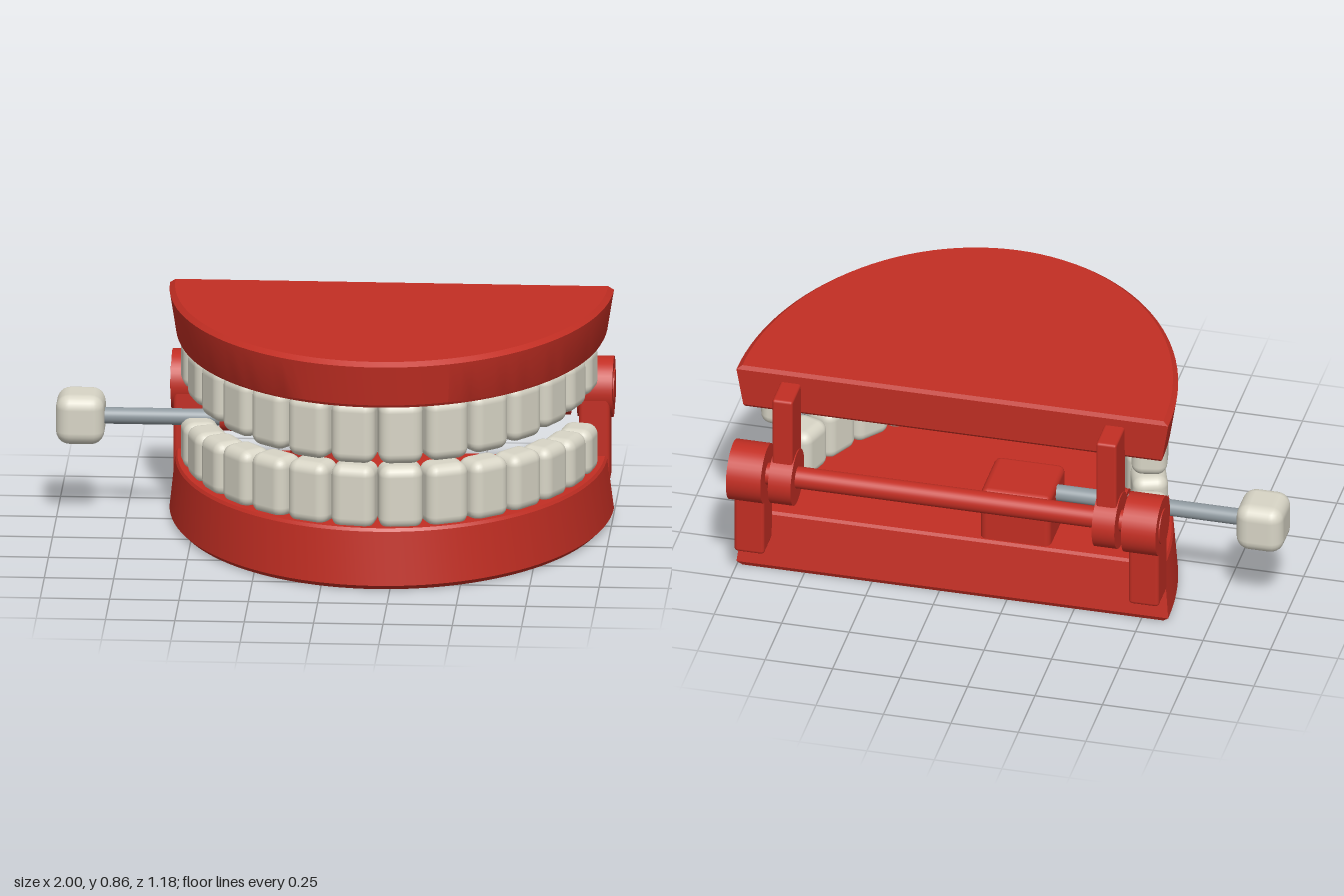
import * as THREE from 'three';
import { toCreasedNormals } from 'three/addons/utils/BufferGeometryUtils.js';
import { RoundedBoxGeometry } from 'three/addons/geometries/RoundedBoxGeometry.js';

const CX = 0.2;      // middle of the jaws
const BACK = -0.415; // flat back of the jaws

// Half-ellipse slab; each profile row is [y, side inset, back inset]
function jawGeometry(profile) {
  const n = 56, pos = [];
  const rings = profile.map(([y, inset, back]) => {
    const ring = [];
    for (let i = 0; i <= n; i++) {
      const t = Math.PI * i / n;
      ring.push([(0.8 - inset) * Math.cos(t), y, BACK + back + (1.005 - inset - back) * Math.sin(t)]);
    }
    return ring;
  });
  const tri = (...pts) => pts.forEach((p) => pos.push(...p));
  const low = rings[0], high = rings[rings.length - 1];
  for (let i = 0; i <= n; i++) {
    const j = (i + 1) % (n + 1);
    for (let k = 0; k < rings.length - 1; k++) {
      const a = rings[k], b = rings[k + 1];
      tri(a[i], b[i], b[j]);
      tri(a[i], b[j], a[j]);
    }
    tri([0, low[0][1], 0], low[i], low[j]);
    tri([0, high[0][1], 0], high[j], high[i]);
  }
  const g = new THREE.BufferGeometry();
  g.setAttribute('position', new THREE.Float32BufferAttribute(pos, 3));
  g.computeVertexNormals();
  return toCreasedNormals(g, 0.35);
}

// Tooth places at equal steps of arc along an ellipse, from the front middle back
function toothPlaces(count, step, a, b) {
  const places = [];
  let t = 0, arc = 0;
  for (let k = 0; k < count; k++) {
    const target = (k + 0.5) * step;
    while (arc < target) {
      t += 0.001;
      arc += 0.001 * Math.hypot(a * Math.cos(t), b * Math.sin(t));
    }
    places.push({
      x: a * Math.sin(t),
      z: BACK + b * Math.cos(t),
      turn: Math.atan2(b * Math.sin(t), a * Math.cos(t)),
    });
  }
  return places;
}

export function createModel() {
  const model = new THREE.Group();
  const red = new THREE.MeshStandardMaterial({ color: 0xc22e23 });
  red.name = 'gum red';
  const ivory = new THREE.MeshStandardMaterial({ color: 0xd8d5c6 });
  ivory.name = 'tooth ivory';
  const steel = new THREE.MeshStandardMaterial({ color: 0x8f999f });
  steel.name = 'shaft grey';

  function add(name, geometry, material, x = 0, y = 0, z = 0, parent = model) {
    const mesh = new THREE.Mesh(geometry, material);
    mesh.name = name;
    mesh.position.set(x, y, z);
    parent.add(mesh);
    return mesh;
  }
  // Box and cylinder given by their extents along x
  const block = (name, x0, x1, y0, y1, z0, z1, r) => add(name,
    new RoundedBoxGeometry(x1 - x0, y1 - y0, z1 - z0, 2, r), red,
    (x0 + x1) / 2, (y0 + y1) / 2, (z0 + z1) / 2);
  const bar = (name, r, x0, x1, y, z, material = red) => add(name,
    new THREE.CylinderGeometry(r, r, x1 - x0, 40).rotateZ(Math.PI / 2), material,
    (x0 + x1) / 2, y, z);

  // Jaws
  add('lowerJaw', jawGeometry([
    [0, 0.02, 0.01], [0.018, 0, 0], [0.215, 0.022, 0.033], [0.226, 0.03, 0.04],
  ]), red, CX);
  add('upperJaw', jawGeometry([
    [0.68, 0.03, 0.012], [0.69, 0.024, 0.005], [0.84, 0, 0], [0.855, 0.02, 0.008],
  ]), red, CX);

  // Teeth, shorter towards the back
  const upper = new THREE.Group(), lower = new THREE.Group();
  upper.name = 'upperTeeth';
  lower.name = 'lowerTeeth';
  model.add(upper, lower);
  toothPlaces(7, 0.162, 0.7, 0.9).forEach((p, k) => {
    const back = (0.485 - p.z) / 0.695;
    const width = k === 6 ? 0.142 : 0.16 - k * 0.001;
    const rows = [
      [upper, 'upperTooth', 0.457 + 0.06 * back, 0.692],
      [lower, 'lowerTooth', 0.213, 0.45 - 0.06 * back],
    ];
    for (const [parent, name, y0, y1] of rows) {
      const g = new RoundedBoxGeometry(width, y1 - y0, 0.13, 3, 0.04);
      for (const side of [-1, 1]) {
        const tooth = add(name, g, ivory, CX + side * p.x, (y0 + y1) / 2, p.z, parent);
        tooth.rotation.y = side * p.turn;
      }
    }
  });

  // Hinge: rod, outer knuckles on the lower jaw, inner ones on the upper jaw
  const HY = 0.456, HZ = -0.482;
  bar('hingeRod', 0.04, -0.5, 0.9, HY, HZ);
  for (const side of [-1, 1]) {
    const span = (a, b) => [CX + side * a, CX + side * b].sort((p, q) => p - q);
    bar('outerKnuckle', 0.11, ...span(0.668, 0.796), HY, HZ);
    bar('knuckleCap', 0.065, ...span(0.79, 0.8), HY, HZ);
    bar('innerKnuckle', 0.104, ...span(0.558, 0.642), HY, HZ);
    block('lowerArm', ...span(0.675, 0.787), 0.12, 0.46, -0.51, -0.375, 0.014);
    block('upperArm', ...span(0.562, 0.638), 0.46, 0.81, -0.54, -0.4, 0.01);
  }

  // Wind-up motor and key
  block('motorCase', -0.15, 0.11, 0.19, 0.43, -0.37, -0.125, 0.025);
  bar('keyShaft', 0.03, -0.86, -0.1, 0.385, -0.25, steel);
  bar('shaftCollar', 0.048, -0.41, -0.35, 0.385, -0.25);
  add('keyKnob', new RoundedBoxGeometry(0.175, 0.185, 0.185, 3, 0.05), ivory, -0.9125, 0.383, -0.25);

  return model;
}
